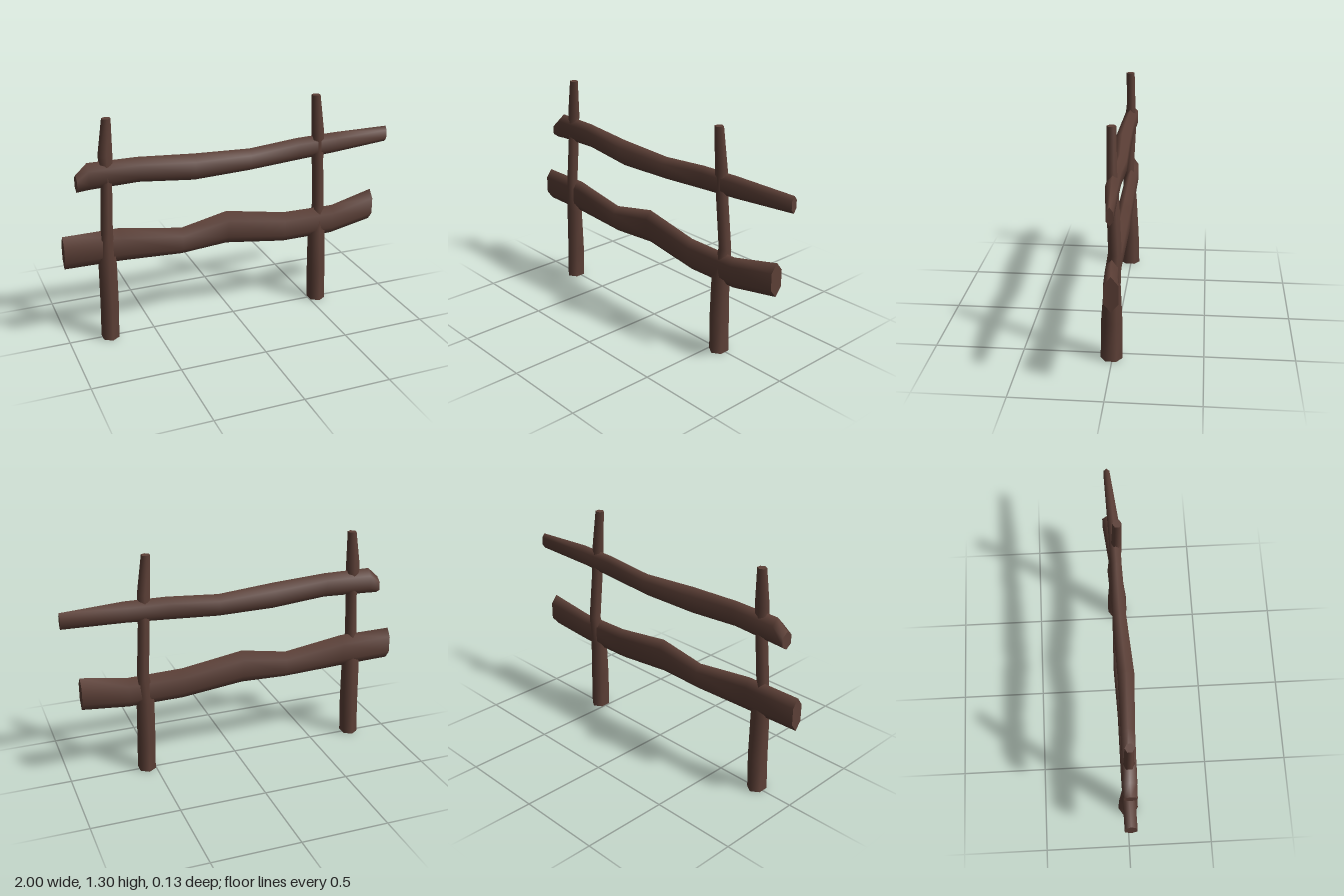
import * as THREE from 'three';

const SIDES = 6;

// Lofts a rough six-sided log. Each station: [position along axis, uMin, uMax, vMin, vMax].
// toPoint maps (along, u, v) to xyz, with along, u, v in right-handed order.
function log(name, material, stations, toPoint) {
  const pos = [], index = [];
  const ring = ([t, u0, u1, v0, v1]) => {
    for (let k = 0; k < SIDES; k++) {
      const a = (k / SIDES) * Math.PI * 2;
      const u = (u0 + u1) / 2 + Math.cos(a) * (u1 - u0) / 2;
      const v = (v0 + v1) / 2 + Math.sin(a) / 0.866 * (v1 - v0) / 2;
      pos.push(...toPoint(t, u, v));
    }
  };
  stations.forEach(ring);
  for (let i = 0; i < stations.length - 1; i++) {
    for (let k = 0; k < SIDES; k++) {
      const a = i * SIDES + k, b = i * SIDES + (k + 1) % SIDES;
      index.push(a, b, b + SIDES, a, b + SIDES, a + SIDES);
    }
  }
  // Sawn ends use their own corners so they stay crisp
  const start = pos.length / 3;
  ring(stations[0]);
  ring(stations[stations.length - 1]);
  for (let k = 1; k < SIDES - 1; k++) {
    index.push(start, start + k + 1, start + k);
    index.push(start + SIDES, start + SIDES + k, start + SIDES + k + 1);
  }
  const geo = new THREE.BufferGeometry();
  geo.setAttribute('position', new THREE.Float32BufferAttribute(pos, 3));
  geo.setIndex(index);
  geo.computeVertexNormals();
  const mesh = new THREE.Mesh(geo, material);
  mesh.name = name;
  return mesh;
}

const alongX = (x, y, z) => [x, y, z];
const alongY = (y, z, x) => [x, y, z];

export function createModel() {
  const wood = new THREE.MeshStandardMaterial({ color: 0x5d4037 });
  wood.name = 'darkWood';
  const fence = new THREE.Group();
  fence.name = 'fence';

  // Rails: x, yMin, yMax, zMin, zMax
  fence.add(log('upperRail', wood, [
    [-0.905, 0.91, 1.01, -0.03, 0.04],
    [-0.84, 0.915, 1.07, -0.035, 0.04],
    [-0.56, 0.925, 1.07, -0.03, 0.045],
    [-0.24, 0.895, 1.05, -0.03, 0.06],
    [0.1, 0.9, 1.03, -0.04, 0.035],
    [0.4, 0.92, 1.055, -0.035, 0.025],
    [0.64, 0.935, 1.06, -0.04, 0.025],
    [1.0, 0.955, 1.05, -0.05, -0.015],
  ], alongX));
  fence.add(log('lowerRail', wood, [
    [-1.0, 0.47, 0.665, -0.03, 0.04],
    [-0.68, 0.465, 0.665, -0.035, 0.035],
    [-0.32, 0.45, 0.61, -0.035, 0.045],
    [-0.04, 0.465, 0.665, -0.045, 0.03],
    [0.32, 0.42, 0.605, -0.035, 0.04],
    [0.64, 0.42, 0.6, -0.035, 0.03],
    [0.915, 0.46, 0.655, -0.068, 0.01],
  ], alongX));

  // Posts: y, zMin, zMax, xMin, xMax
  fence.add(log('rightPost', wood, [
    [0, -0.055, 0.065, -0.81, -0.72],
    [0.2, -0.05, 0.06, -0.805, -0.712],
    [0.46, -0.035, 0.05, -0.805, -0.71],
    [0.66, -0.015, 0.052, -0.785, -0.725],
    [0.95, -0.03, 0.045, -0.765, -0.712],
    [1.1, -0.025, 0.03, -0.775, -0.7],
    [1.305, -0.02, 0.03, -0.745, -0.7],
  ], alongY));
  fence.add(log('leftPost', wood, [
    [0, -0.055, 0.065, 0.505, 0.597],
    [0.22, -0.055, 0.062, 0.5, 0.592],
    [0.44, -0.045, 0.045, 0.497, 0.59],
    [0.62, -0.052, 0.02, 0.525, 0.585],
    [0.9, -0.038, 0.03, 0.507, 0.565],
    [1.08, -0.025, 0.03, 0.495, 0.562],
    [1.305, -0.02, 0.03, 0.485, 0.53],
  ], alongY));

  return fence;
}
